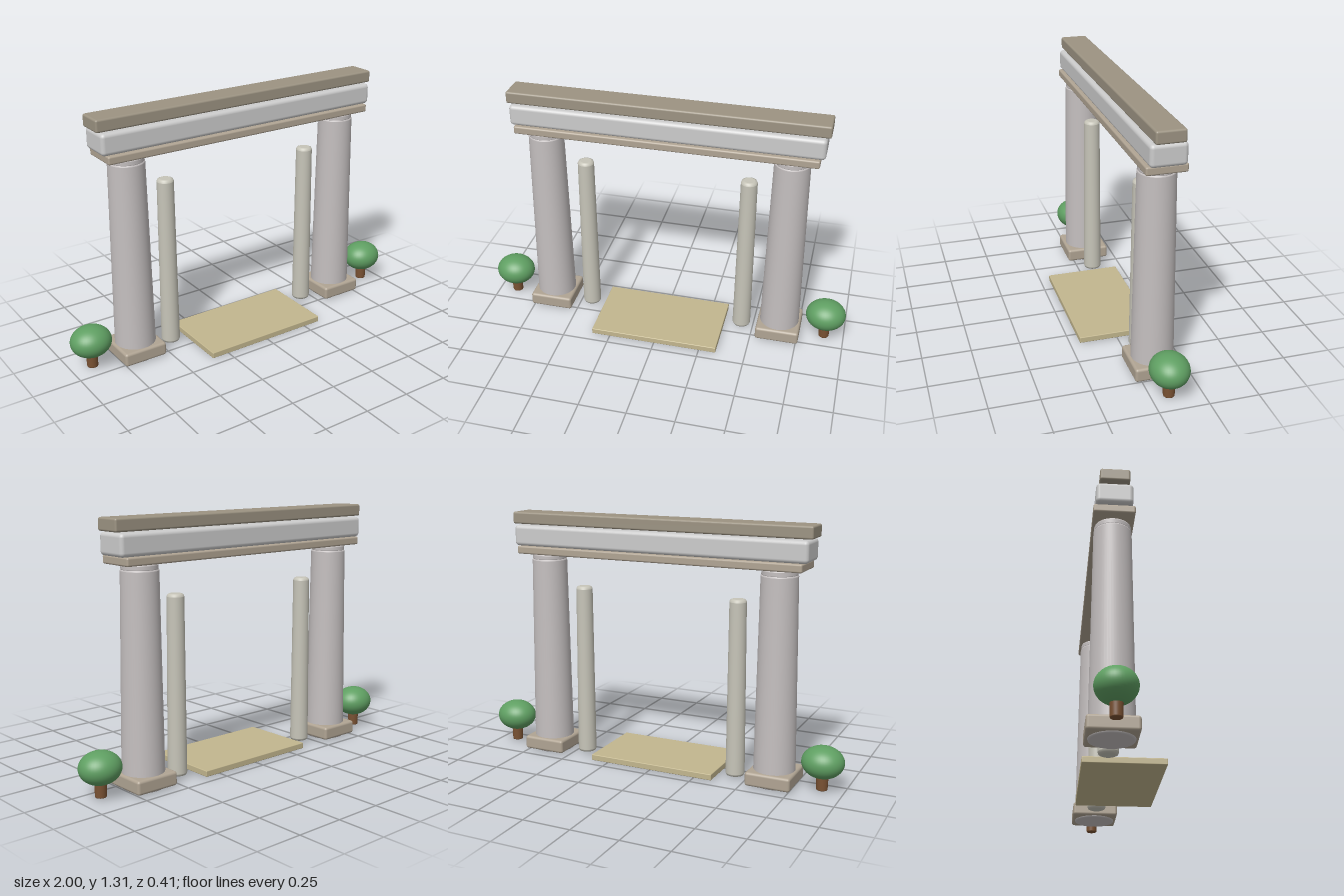
import * as THREE from 'three';
import { RoundedBoxGeometry } from 'three/addons/geometries/RoundedBoxGeometry.js';

const AXIS_Z = -0.084; // depth line shared by columns, beams and shrubs

export function createModel() {
  const model = new THREE.Group();
  const mat = (color) => new THREE.MeshStandardMaterial({ color });
  const shaftMat = mat(0xc4bfbf);
  const pillarMat = mat(0xc6c4b8);
  const friezeMat = mat(0xcac9c6);
  const trimMat = mat(0xb0a493);
  const corniceMat = mat(0x9c9382);
  const slabMat = mat(0xc2b68e);
  const leafMat = mat(0x5f9f62);
  const barkMat = mat(0x7a5233);

  function add(name, geometry, material, x, y, z, parent = model) {
    const mesh = new THREE.Mesh(geometry, material);
    mesh.name = name;
    mesh.position.set(x, y, z);
    parent.add(mesh);
    return mesh;
  }

  // Softly bevelled block given by its bottom and top heights
  function block(name, material, w, y0, y1, d, bevel, x, z, parent) {
    const geometry = new RoundedBoxGeometry(w, y1 - y0, d, 3, bevel);
    return add(name, geometry, material, x, (y0 + y1) / 2, z, parent);
  }

  // Tapered round shaft with a small bevel at both ends
  function shaft(r0, r1, y0, y1, bevel) {
    const b = bevel;
    const points = [
      [0, y0], [r0 - b * 1.1, y0], [r0 - b, y0], [r0 - b * 0.3, y0 + b * 0.3],
      [r0, y0 + b], [r0, y0 + b * 1.1], [r1, y1 - b * 1.1], [r1, y1 - b],
      [r1 - b * 0.3, y1 - b * 0.3], [r1 - b, y1], [r1 - b * 1.1, y1], [0, y1],
    ].map(([r, y]) => new THREE.Vector2(r, y));
    return new THREE.LatheGeometry(points, 48);
  }

  // Mirrored uprights and shrubs
  for (const side of [-1, 1]) {
    const label = side > 0 ? 'left' : 'right';

    const column = new THREE.Group();
    column.name = `${label}Column`;
    column.position.set(side * 0.645, 0, AXIS_Z);
    model.add(column);
    block('columnBase', trimMat, 0.235, 0.008, 0.08, 0.24, 0.014, 0, 0, column);
    add('columnShaft', shaft(0.107, 0.092, 0, 1.065, 0.008), shaftMat, 0, 0, 0, column);
    add('columnNeck', shaft(0.089, 0.089, 1.055, 1.094, 0.01), shaftMat, 0, 0, 0, column);

    add(`${label}SlimPillar`, shaft(0.049, 0.043, 0.01, 0.927, 0.014), pillarMat,
      side * 0.435, 0, AXIS_Z);

    const shrub = new THREE.Group();
    shrub.name = `${label}Shrub`;
    shrub.position.set(side * 0.893, 0, AXIS_Z);
    model.add(shrub);
    add('trunk', shaft(0.028, 0.031, 0.008, 0.11, 0.004), barkMat, 0, 0, 0, shrub);
    const crown = add('crown', new THREE.SphereGeometry(1, 40, 28), leafMat, 0, 0.152, 0, shrub);
    crown.scale.set(0.107, 0.082, 0.097);
  }

  // Stacked beams across the columns
  block('architrave', trimMat, 1.568, 1.09, 1.132, 0.2, 0.009, 0, AXIS_Z);
  block('frieze', friezeMat, 1.615, 1.131, 1.24, 0.178, 0.02, 0, AXIS_Z);
  block('cornice', corniceMat, 1.648, 1.245, 1.308, 0.144, 0.01, 0, AXIS_Z);

  // Threshold slab on the ground
  block('threshold', slabMat, 0.692, 0.003, 0.035, 0.402, 0.004, -0.003, 0);

  return model;
}
